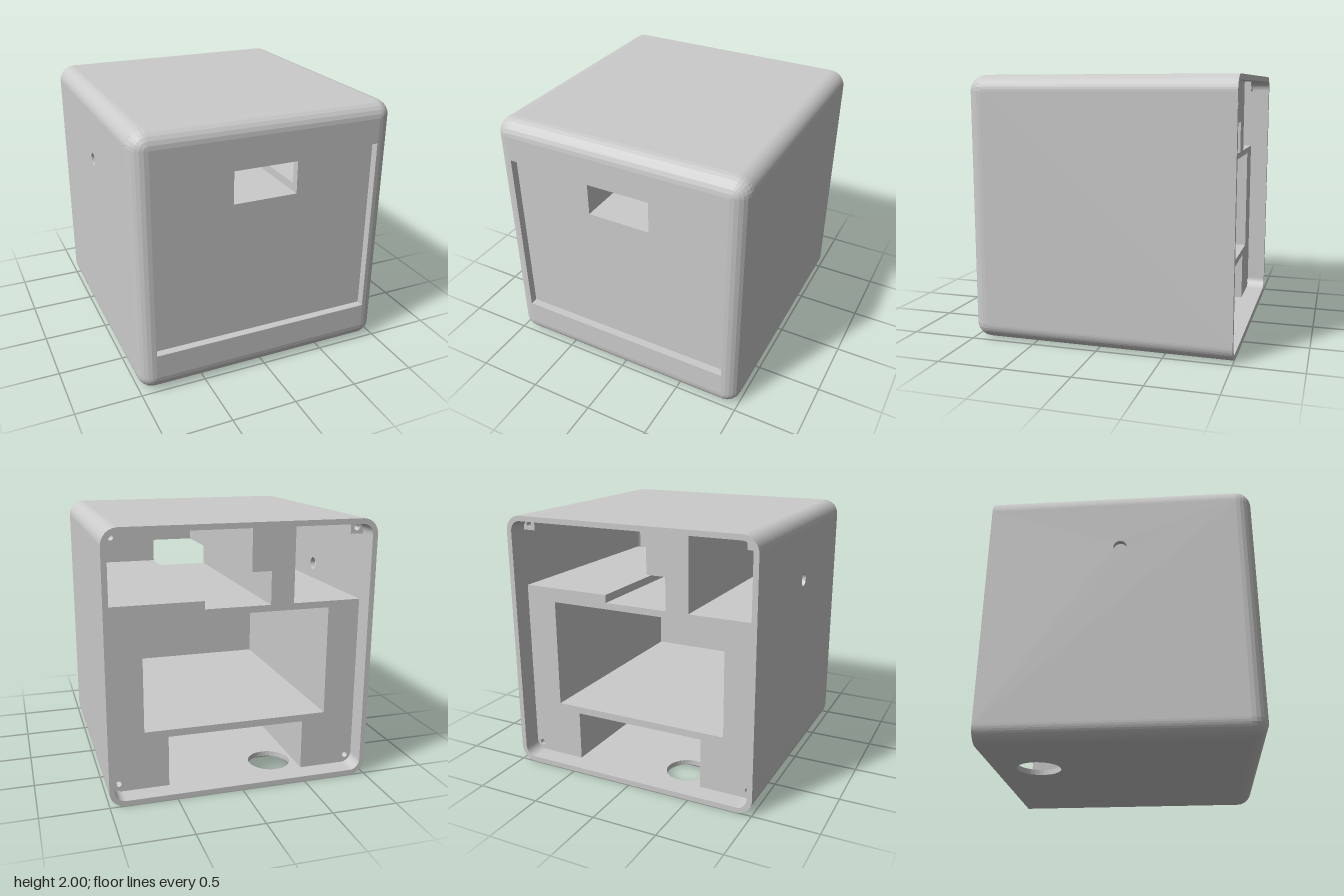
import * as THREE from 'three';

const R = 0.12, WALL = 0.04, IN = 1 - R, SEG = 6;
const BACK = -0.85; // rear face of the inner frame

export function createModel() {
  const group = new THREE.Group();
  const mat = new THREE.MeshStandardMaterial({ color: 0xcccccc, flatShading: true, side: THREE.DoubleSide });

  const add = (name, geo, x = 0, y = 0, z = 0) => {
    const mesh = new THREE.Mesh(geo, mat);
    mesh.name = name;
    mesh.position.set(x, y, z);
    group.add(mesh);
    return mesh;
  };
  const rect = (x0, y0, x1, y1) => [[x0, y0], [x1, y0], [x1, y1], [x0, y1]].map(p => new THREE.Vector2(...p));
  const circle = (x, y, r) => new THREE.Path().absarc(x, y, r, 0, Math.PI * 2, true);
  const extrude = (points, depth, holes = []) => {
    const shape = new THREE.Shape(points);
    shape.holes = holes;
    return new THREE.ExtrudeGeometry(shape, { depth, bevelEnabled: false, curveSegments: 16 });
  };
  const rectHole = (...r) => new THREE.Path(rect(...r).reverse());

  // Four flat walls: round cable hole in the floor, small hole in the right wall
  const flat = rect(-IN, -IN, IN, 1);
  const side = rect(-1, R, IN, 2 - R);
  add('floor', extrude(flat, WALL, [circle(-0.335, 0.66, 0.165)]).rotateX(-Math.PI / 2));
  add('roof', extrude(flat, WALL).rotateX(-Math.PI / 2), 0, 2 - WALL);
  add('leftWall', extrude(side, WALL).rotateY(-Math.PI / 2), 1);
  add('rightWall', extrude(side, WALL, [circle(0, 1.5, 0.05)]).rotateY(-Math.PI / 2), -1 + WALL);

  // Rounded long edges joining the walls
  const arc = new THREE.Shape();
  arc.absarc(0, 0, R, 0, Math.PI / 2, false);
  arc.absarc(0, 0, R - WALL, Math.PI / 2, 0, true);
  const edgeGeo = new THREE.ExtrudeGeometry(arc, { depth: 1 + IN, bevelEnabled: false, curveSegments: SEG });
  [[1, 1], [-1, 1], [-1, -1], [1, -1]].forEach(([sx, sy], k) => {
    add('roundedEdge', edgeGeo, sx * IN, 1 + sy * IN, -1).rotation.z = k * Math.PI / 2;
  });

  add('frontRounding', frontRounding());

  // Front: raised border around a shallow recess, with a display window
  add('frontBorder', extrude(rect(-IN, R, IN, 2 - R), 0.06, [rectHole(-0.875, 0.31, 0.875, 1.69)]), 0, 0, 0.94);
  add('recessPanel', extrude(rect(-0.93, 0.07, 0.93, 1.93), 0.06, [rectHole(-0.25, 1.375, 0.25, 1.625)]), 0, 0, IN);

  // Inner frame: legs, shelf, large bay, window slot and hooked post up to the roof
  const half = [
    [0.53, 0.04], [0.96, 0.04], [0.96, 1.436], [0.25, 1.436], [0.25, 1.375],
    [-0.25, 1.375], [-0.25, 1.625], [-0.1, 1.625], [-0.1, 1.96], [-0.43, 1.96],
    [-0.43, 1.375], [-0.96, 1.375], [-0.96, 0.04], [-0.53, 0.04], [-0.53, 0.43], [0.53, 0.43],
  ].map(p => new THREE.Vector2(...p));
  add('innerFrame', extrude(half, IN - BACK, [
    rectHole(-0.71, 0.485, 0.71, 1.326), circle(0.91, 0.1, 0.022), circle(-0.91, 0.1, 0.022),
  ]), 0, 0, BACK);

  // Screw bars in the upper corners
  for (const s of [-1, 1]) {
    add('screwBar', extrude(rect(-0.05, -0.045, 0.05, 0.045), IN - BACK, [circle(0, 0, 0.022)]), s * 0.91, 1.915, BACK);
  }
  return group;
}

// Curved transition from the walls to the front face, from shrinking rounded squares
function frontRounding() {
  const pos = [], idx = [], n = 4 * (SEG + 1);
  for (let i = 0; i <= SEG; i++) {
    const a = (i / SEG) * Math.PI / 2, r = R * Math.cos(a), z = IN + R * Math.sin(a);
    for (let k = 0; k < 4; k++) {
      const sx = k === 0 || k === 3 ? 1 : -1, sy = k < 2 ? 1 : -1;
      for (let j = 0; j <= SEG; j++) {
        const t = (k + j / SEG) * Math.PI / 2;
        pos.push(sx * IN + r * Math.cos(t), 1 + sy * IN + r * Math.sin(t), z);
      }
    }
  }
  for (let i = 0; i < SEG; i++) {
    for (let j = 0; j < n; j++) {
      const a = i * n + j, b = i * n + (j + 1) % n;
      idx.push(a, b, a + n, b, b + n, a + n);
    }
  }
  const geo = new THREE.BufferGeometry();
  geo.setAttribute('position', new THREE.Float32BufferAttribute(pos, 3));
  geo.setIndex(idx);
  const out = geo.toNonIndexed();
  out.computeVertexNormals();
  return out;
}
